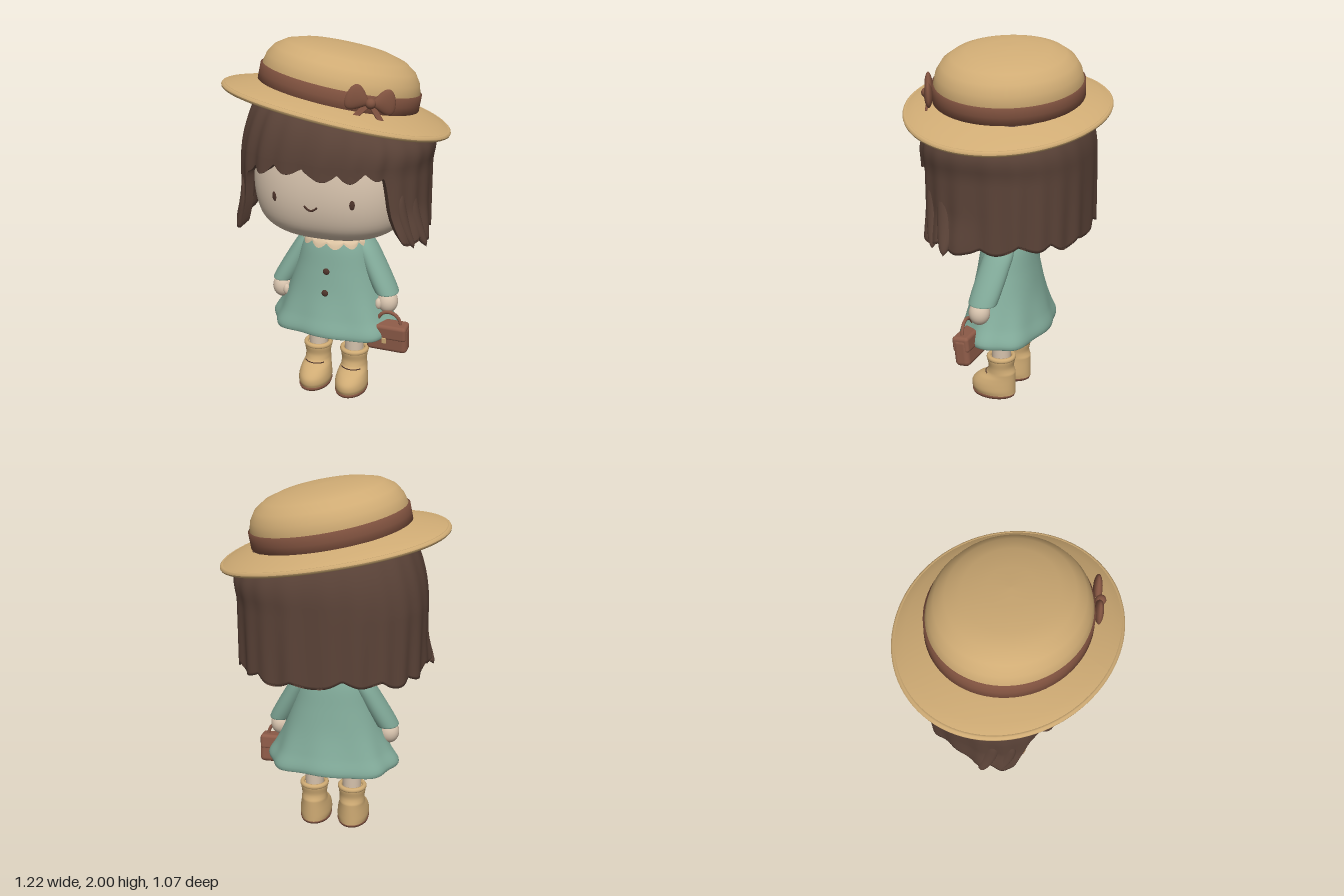
import * as THREE from 'three';
import { RoundedBoxGeometry } from 'three/addons/geometries/RoundedBoxGeometry.js';

const mat = (name, color, side = THREE.FrontSide) => {
  const m = new THREE.MeshStandardMaterial({ color, side });
  m.name = name;
  return m;
};
const skin = mat('skin', 0xd8c4ae);
const cream = mat('cream', 0xdcc3a2, THREE.DoubleSide);
const green = mat('dressGreen', 0x82ab9a);
const straw = mat('straw', 0xcfab74);
const hairBrown = mat('hairBrown', 0x5b4338, THREE.DoubleSide);
const ribbon = mat('ribbonBrown', 0x80523f);
const leather = mat('leather', 0x8d5b48);
const dark = mat('darkBrown', 0x4e342b);

const { lerp, smoothstep } = THREE.MathUtils;
const pw = (v, n) => Math.sign(v) * Math.abs(v) ** (2 / n);

function add(parent, name, geometry, material, x = 0, y = 0, z = 0) {
  const m = new THREE.Mesh(geometry, material);
  m.name = name;
  m.position.set(x, y, z);
  parent.add(m);
  return m;
}

// Closed-around surface; fn(a, t, v) places a point, a = 0 at the front, rows run bottom to top
function sheet(cols, rows, fn) {
  const pos = [], idx = [], v = new THREE.Vector3();
  for (let r = 0; r <= rows; r++) {
    for (let c = 0; c < cols; c++) {
      fn((c / cols) * Math.PI * 2, r / rows, v);
      pos.push(v.x, v.y, v.z);
      if (r === rows) continue;
      const a = r * cols + c, b = r * cols + (c + 1) % cols;
      idx.push(a, b, b + cols, a, b + cols, a + cols);
    }
  }
  const g = new THREE.BufferGeometry();
  g.setAttribute('position', new THREE.Float32BufferAttribute(pos, 3));
  g.setIndex(idx);
  g.computeVertexNormals();
  return g;
}

// Horizontal superellipse rings [y, rx, rz] joined by a smooth curve
function loft(keys, warp = () => {}, n = 2, cols = 48, rows = 40) {
  const curve = new THREE.CatmullRomCurve3(keys.map(k => new THREE.Vector3(...k)));
  const rings = Array.from({ length: rows + 1 }, (_, i) => curve.getPoint(i / rows));
  return sheet(cols, rows, (a, t, v) => {
    const k = rings[Math.round(t * rows)];
    v.set(Math.max(k.y, 0) * pw(Math.sin(a), n), k.x, Math.max(k.z, 0) * pw(Math.cos(a), n));
    warp(v, a, k);
  });
}
const lathe = pts => new THREE.LatheGeometry(pts.map(p => new THREE.Vector2(...p)), 72);

function buildHead(root) {
  const head = new THREE.Group();
  head.name = 'head';
  root.add(head);
  add(head, 'face', loft([[0.97, 0, 0], [0.975, 0.2, 0.17], [1.0, 0.315, 0.27], [1.07, 0.395, 0.34],
    [1.19, 0.43, 0.375], [1.36, 0.43, 0.375], [1.55, 0.37, 0.33], [1.67, 0.22, 0.2], [1.71, 0, 0]],
  undefined, 2.4, 64), skin);
  const faceZ = x => 0.375 * (1 - Math.abs(x / 0.43) ** 2.4) ** (1 / 2.4);
  for (const s of [-1, 1]) {
    const eye = add(head, 'eye', new THREE.SphereGeometry(1, 20, 14), dark, s * 0.21, 1.235, faceZ(0.21));
    eye.scale.set(0.016, 0.029, 0.008);
    eye.rotation.y = s * 0.3;
  }
  const smile = [-1, -0.6, 0, 0.6, 1].map(k =>
    new THREE.Vector3(k * 0.035, 1.187 + 0.023 * k * k, faceZ(k * 0.035)));
  add(head, 'mouth', new THREE.TubeGeometry(new THREE.CatmullRomCurve3(smile), 20, 0.006, 6), dark);

  // Hair: inner lining, jagged hem, outer wall, then a dome that leans with the hat
  const hem = a => {
    const d = a > Math.PI ? a - 2 * Math.PI : a, k = smoothstep(Math.abs(d), 0.74, 0.93);
    const fringe = 1.41 - 0.045 * Math.abs(Math.sin(d * 11 + 0.5)) - 0.012 * Math.sin(d * 7) - 0.02 * d * d;
    const back = 1.035 - 0.035 * Math.abs(Math.sin(d * 7.5)) - 0.012 * Math.sin(d * 5);
    return lerp(fringe, back, k);
  };
  add(head, 'hair', sheet(288, 56, (a, t, v) => {
    const b = hem(a), inner = t < 0.25;
    let y, k = 1;
    if (inner) y = lerp(1.44, b + 0.008, t / 0.25);
    else {
      const s = (t - 0.25) / 0.75;
      if (s < 0.65) y = lerp(b, 1.44, s / 0.65);
      else {
        const p = ((s - 0.65) / 0.35) * Math.PI / 2;
        y = 1.44 + 0.33 * Math.sin(p);
        k = Math.max(Math.cos(p), 0) ** 0.6;
      }
    }
    const low = 1 - smoothstep(y, b, b + 0.5);
    const ripple = 1 + (0.004 + 0.008 * low) * Math.sin(a * 22) + 0.006 * low * Math.sin(a * 13 + 1);
    const off = inner ? 0.04 : 0;
    v.x = (0.51 - off) * k * ripple * pw(Math.sin(a), 2.35);
    v.z = ((Math.cos(a) > 0 ? 0.42 : 0.45) - off) * k * ripple * pw(Math.cos(a), 2.35);
    v.x *= 1 + 0.08 * (1 - smoothstep(y, 0.99, 1.2)) * smoothstep(Math.cos(a), -0.3, 0.5);
    v.y = y - 0.16 * v.x * smoothstep(y, 1.35, 1.7);
    v.x += 0.03 * smoothstep(y, 1.35, 1.6);
  }), hairBrown);

  // Curling tips of the strands beside the face
  for (const s of [-1, 1]) {
    for (const [x, z, low, r] of [[0.425, 0.235, 0.99, 0.03], [0.46, 0.15, 0.975, 0.034]]) {
      add(head, 'sideLock', loft([[low, 0, 0], [low + 0.03, r * 0.6, r * 0.7], [low + 0.12, r, r * 1.3],
        [1.24, r * 0.9, r * 1.2], [1.36, 0, 0]], v => {
        const f = Math.max(0, 1.25 - v.y);
        v.x += s * (x + f * f * 1.1);
        v.z += z - f * 0.1;
      }, 2, 16, 24), hairBrown);
    }
  }
}

function buildHat(root) {
  const hat = new THREE.Group();
  hat.name = 'hat';
  hat.position.y = 1.67;
  hat.rotation.set(-0.075, 0, -0.18);
  root.add(hat);
  const crown = add(hat, 'crown', lathe([[0.42, 0.02], [0.422, 0.13], [0.407, 0.185], [0.375, 0.232], [0.32, 0.268],
    [0.24, 0.291], [0.12, 0.304], [0, 0.307]]), straw);
  const band = add(hat, 'hatBand', lathe([[0.41, 0.045], [0.432, 0.05], [0.431, 0.09], [0.43, 0.132], [0.41, 0.14]]), ribbon);
  crown.scale.z = band.scale.z = 0.915;
  // Brim and its rolled edge droop at both sides
  const droop = g => {
    const p = g.attributes.position;
    for (let i = 0; i < p.count; i++) p.setY(i, p.getY(i) - 0.06 * p.getX(i) ** 2);
    g.computeVertexNormals();
    return g;
  };
  const brim = add(hat, 'brim', droop(lathe([[0.37, 0.035], [0.45, 0.027], [0.55, 0.004], [0.605, -0.01], [0.615, 0.002],
    [0.605, 0.012], [0.55, 0.028], [0.45, 0.054], [0.37, 0.064]])), straw);
  const edge = add(hat, 'brimEdge', droop(new THREE.TorusGeometry(0.607, 0.014, 10, 96).rotateX(Math.PI / 2)), straw);
  brim.scale.z = edge.scale.z = 0.865;
  // Bow
  const bow = new THREE.Group();
  bow.name = 'bow';
  bow.position.set(0.275, 0.105, 0.325);
  bow.rotation.y = 0.5;
  hat.add(bow);
  for (const s of [-1, 1]) {
    const g = new THREE.SphereGeometry(1, 24, 16), p = g.attributes.position;
    for (let i = 0; i < p.count; i++) p.setY(i, p.getY(i) * (0.3 + 0.45 * (1 + s * p.getX(i))));
    g.scale(0.06, 0.075, 0.022);
    g.computeVertexNormals();
    add(bow, 'bowLoop', g, ribbon, s * 0.064, 0.012, 0).rotation.z = s * 0.25;
    const tail = add(bow, 'bowTail', new RoundedBoxGeometry(0.028, 0.09, 0.012, 3, 0.005), ribbon, s * 0.04, -0.045, 0.008);
    tail.rotation.set(-0.3, 0, s * 0.7);
  }
  add(bow, 'bowKnot', new THREE.SphereGeometry(0.026, 18, 12), ribbon, 0, 0, 0.012);
}

function buildBody(root) {
  add(root, 'neck', new THREE.CylinderGeometry(0.088, 0.088, 0.1, 32), skin, 0, 0.95, 0);
  // Dress with a softly folded hem and closed underside
  add(root, 'dress', loft([[0.42, 0, 0], [0.415, 0.2, 0.13], [0.402, 0.335, 0.215], [0.395, 0.362, 0.234], [0.42, 0.368, 0.238],
    [0.5, 0.325, 0.215], [0.62, 0.273, 0.185], [0.76, 0.225, 0.16], [0.89, 0.188, 0.139], [0.94, 0.155, 0.122], [0.96, 0.09, 0.09]],
  (v, a) => {
    const fold = 1 - smoothstep(v.y, 0.4, 0.7), f = 1 + 0.03 * fold * Math.cos(a * 8);
    v.x *= f;
    v.z *= f;
    v.y += 0.007 * fold * Math.cos(a * 4 + 0.5);
  }, 2.2, 80, 60), green);
  // Scalloped collar, tucked under the dress at the back
  add(root, 'collar', loft([[0.897, 0.188, 0.16], [0.928, 0.18, 0.152], [0.956, 0.145, 0.13], [0.97, 0.09, 0.09]],
    (v, a, k) => {
      const edge = 1 - smoothstep(k.x, 0.9, 0.945), wave = Math.abs(Math.sin(a * 6));
      const tuck = lerp(0.6, 1, smoothstep(Math.cos(a), -0.2, 0.15));
      v.y += edge * 0.03 * (1 - wave) - 0.02 * (1 - tuck);
      v.x *= tuck * (1 + edge * 0.05 * (wave - 0.6));
      v.z *= tuck * (1 + edge * 0.05 * (wave - 0.6));
    }, 2, 120, 14), cream);
  for (const [y, z] of [[0.765, 0.162], [0.645, 0.183]]) {
    add(root, 'button', new THREE.SphereGeometry(0.019, 18, 12), dark, 0, y, z).scale.z = 0.55;
  }

  for (const s of [-1, 1]) {
    add(root, 'sleeve', loft([[0.655, 0, 0], [0.645, 0.05, 0.06], [0.637, 0.064, 0.077], [0.66, 0.068, 0.081],
      [0.8, 0.066, 0.084], [0.89, 0.058, 0.08], [0.938, 0.04, 0.06], [0.952, 0, 0]], v => {
      const d = (0.9 - v.y) / 0.26;
      v.x += s * (0.165 + 0.14 * d);
      v.z += -0.02 + 0.04 * d;
    }, 2, 36), green);
    add(root, 'hand', new THREE.SphereGeometry(0.058, 28, 20), skin, s * 0.315, 0.585, 0.035).scale.y = 1.15;
    add(root, 'thumb', new THREE.SphereGeometry(0.02, 16, 12), skin, s * 0.275, 0.58, 0.075).scale.y = 1.6;
    add(root, 'leg', new THREE.CylinderGeometry(0.06, 0.053, 0.26, 32), skin, s * 0.11, 0.35, 0);

    // Boot: a long foot reaching forward from the shaft
    const boot = new THREE.Group();
    boot.name = 'boot';
    boot.position.x = s * 0.112;
    root.add(boot);
    const reach = (v, a, k) => { v.z += Math.max(k.z - 0.083, 0); };
    add(boot, 'bootBody', loft([[0.015, 0.086, 0.126], [0.04, 0.092, 0.131], [0.075, 0.09, 0.129], [0.11, 0.083, 0.113],
      [0.14, 0.075, 0.087], [0.18, 0.073, 0.072], [0.235, 0.077, 0.079], [0.24, 0.05, 0.055]], reach), straw);
    add(boot, 'sole', lathe([[0, 0], [0.088, 0], [0.092, 0.015], [0.08, 0.019]]), ribbon, 0, 0, 0.047).scale.z = 1.42;
    add(boot, 'bootCuff', new THREE.TorusGeometry(0.07, 0.014, 12, 40).rotateX(Math.PI / 2), straw, 0, 0.238, 0).scale.y = 1.1;
    const crease = new THREE.TorusGeometry(0.076, 0.003, 6, 24, 1.7).rotateZ(0.72).rotateX(Math.PI / 2);
    add(boot, 'bootCrease', crease, dark, 0, 0.14, 0.004).scale.z = 1.15;
  }
}

function buildBag(root) {
  const bag = new THREE.Group();
  bag.name = 'handbag';
  bag.position.set(0.335, 0.31, 0.075);
  bag.rotation.x = 0.1;
  root.add(bag);
  add(bag, 'bagBody', new RoundedBoxGeometry(0.235, 0.16, 0.088, 4, 0.028), leather, 0, 0.085, 0);
  add(bag, 'bagFlap', new RoundedBoxGeometry(0.228, 0.088, 0.096, 4, 0.018), leather, 0, 0.13, 0);
  add(bag, 'clasp', new RoundedBoxGeometry(0.026, 0.034, 0.009, 2, 0.003), straw, -0.008, 0.083, 0.048);
  add(bag, 'bagHandle', new THREE.TorusGeometry(0.066, 0.009, 10, 32, Math.PI), leather, 0.008, 0.165, 0).scale.y = 1.15;
}

export function createModel() {
  const root = new THREE.Group();
  root.name = 'girlInSunHat';
  buildHead(root);
  buildHat(root);
  buildBody(root);
  buildBag(root);
  return root;
}
